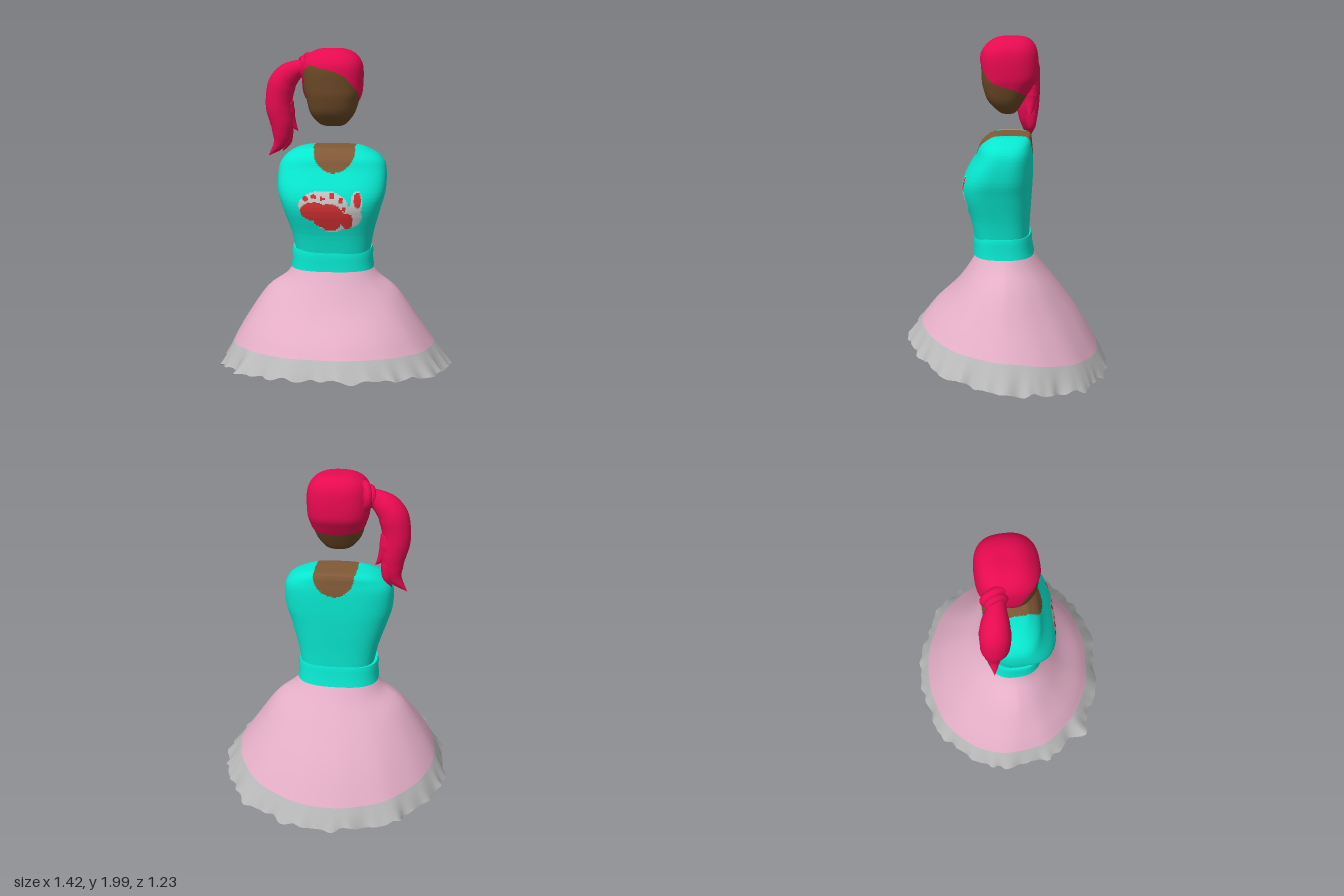
import * as THREE from 'three';

const paint = (name, color, side = THREE.FrontSide) => {
  const m = new THREE.MeshStandardMaterial({ color, side });
  m.name = name;
  return m;
};

// Smooth surface from point(s, angle); s runs down the rings, pick() chooses a material index per face.
function loft(name, point, s0, s1, rows, cols, mats, pick) {
  const pos = [], faces = mats.map(() => []);
  for (let i = 0; i <= rows; i++)
    for (let j = 0; j < cols; j++)
      pos.push(...point(s0 + (s1 - s0) * i / rows, j / cols * Math.PI * 2));
  const at = (k, c) => pos[k * 3 + c];
  for (let i = 0; i < rows; i++)
    for (let j = 0; j < cols; j++) {
      const a = i * cols + j, b = i * cols + (j + 1) % cols, c = a + cols, d = b + cols;
      const mid = n => (at(a, n) + at(b, n) + at(c, n) + at(d, n)) / 4;
      faces[pick ? pick(mid(0), mid(1), mid(2)) : 0].push(a, b, c, b, d, c);
    }
  const g = new THREE.BufferGeometry();
  g.setAttribute('position', new THREE.Float32BufferAttribute(pos, 3));
  g.setIndex(faces.flat());
  let start = 0;
  if (mats.length > 1) faces.forEach((f, k) => { g.addGroup(start, f.length, k); start += f.length; });
  g.computeVertexNormals();
  const mesh = new THREE.Mesh(g, mats.length > 1 ? mats : mats[0]);
  mesh.name = name;
  return mesh;
}

// Blend between neighbouring table rows.
function blend(rings, s) {
  const i = Math.min(Math.floor(s + 1e-6), rings.length - 2), f = s - i;
  return rings[i].map((v, k) => v + (rings[i + 1][k] - v) * f);
}

// Four smooth steps between each pair of table rows.
function refine(rings) {
  const out = [], last = rings.length - 1;
  for (let n = 0; n <= last * 4; n++) {
    const i = Math.min(Math.floor(n / 4), last - 1), t = n / 4 - i;
    const [p, q, r, w] = [-1, 0, 1, 2].map(o => rings[Math.max(0, Math.min(last, i + o))]);
    out.push(q.map((v, k) => v + 0.5 * t * (r[k] - p[k] +
      t * (2 * p[k] - 5 * v + 4 * r[k] - w[k] + t * (3 * (v - r[k]) + w[k] - p[k])))));
  }
  return out;
}

// Rounded-box outline spanning x0..x1 and z0..z1.
function outline(x0, x1, z0, z1, a, n) {
  const bend = v => Math.sign(v) * Math.pow(Math.abs(v), 2 / n);
  return [(x0 + x1) / 2 + (x1 - x0) / 2 * bend(Math.cos(a)),
    (z0 + z1) / 2 + (z1 - z0) / 2 * bend(Math.sin(a))];
}

// Rings are [y, x0, x1, z0, z1], listed from top to bottom.
const ringPoint = (rings, n) => (s, a) => {
  const [y, x0, x1, z0, z1] = blend(rings, s);
  const [x, z] = outline(x0, x1, z0, z1, a, n);
  return [x, y, z];
};

const inOval = (x, y, [cx, cy, rx, ry]) => ((x - cx) / rx) ** 2 + ((y - cy) / ry) ** 2 < 1;

const TORSO = refine([
  [1.44, -0.02, -0.02, -0.02, -0.02], [1.44, -0.17, 0.13, -0.11, 0.09],
  [1.42, -0.25, 0.2, -0.13, 0.13], [1.38, -0.305, 0.265, -0.135, 0.17],
  [1.32, -0.335, 0.293, -0.14, 0.195], [1.2, -0.337, 0.292, -0.14, 0.262],
  [1.1, -0.31, 0.265, -0.135, 0.275], [0.95, -0.26, 0.225, -0.125, 0.23],
  [0.83, -0.235, 0.205, -0.12, 0.205]]);
const BELT = [
  [0.85, -0.02, -0.02, 0.03, 0.03], [0.85, -0.255, 0.215, -0.13, 0.205], [0.85, -0.255, 0.215, -0.13, 0.205],
  [0.82, -0.262, 0.222, -0.137, 0.213], [0.79, -0.258, 0.218, -0.137, 0.21],
  [0.73, -0.266, 0.226, -0.15, 0.214], [0.73, -0.266, 0.226, -0.15, 0.214], [0.73, -0.02, -0.02, 0.03, 0.03]];
const HEAD = refine([
  [2.0, -0.025, -0.025, -0.015, -0.015], [1.997, -0.1, 0.05, -0.09, 0.06],
  [1.965, -0.165, 0.115, -0.14, 0.12], [1.9, -0.196, 0.152, -0.165, 0.165],
  [1.78, -0.196, 0.152, -0.168, 0.166], [1.72, -0.18, 0.14, -0.14, 0.16],
  [1.64, -0.155, 0.11, -0.09, 0.13], [1.585, -0.115, 0.07, -0.055, 0.08],
  [1.56, -0.075, 0.035, -0.03, 0.045], [1.555, -0.02, -0.02, 0.01, 0.01]]);
// Height of the hair's lower edge by angle in degrees from +x towards +z.
const HAIRLINE = [[0, 1.715], [30, 1.745], [50, 1.79], [70, 1.845], [90, 1.88], [110, 1.9], [130, 1.91],
  [155, 1.88], [175, 1.72], [225, 1.68], [270, 1.67], [315, 1.67], [360, 1.715]];
// Skirt rings: x0, x1, z0, z1, then height at the sides, front and back, then ruffle strength.
const SKIRT = refine([
  [-0.25, 0.2, -0.13, 0.18, 0.745, 0.745, 0.745, 0], [-0.3, 0.26, -0.2, 0.24, 0.67, 0.64, 0.64, 0.002],
  [-0.42, 0.37, -0.3, 0.34, 0.58, 0.5, 0.51, 0.004], [-0.55, 0.5, -0.43, 0.465, 0.39, 0.385, 0.33, 0.006],
  [-0.63, 0.595, -0.54, 0.53, 0.25, 0.31, 0.14, 0.008], [-0.7, 0.69, -0.6, 0.605, 0.11, 0.215, 0.025, 0.03]]);
const EDGE = 16, HEM = 20;
const HIPS = [
  [0.74, -0.2, 0.16, -0.11, 0.16], [0.52, -0.2, 0.17, -0.1, 0.15],
  [0.4, -0.18, 0.15, -0.09, 0.14], [0.4, -0.02, -0.02, 0, 0]];
const STUB = [
  [0.42, -0.15, 0.12, -0.08, 0.13], [0.32, -0.15, 0.12, -0.09, 0.13], [0.22, -0.09, 0.06, -0.06, 0.12],
  [0.18, -0.075, 0.045, -0.03, 0.1], [0.18, -0.075, 0.045, -0.03, 0.1], [0.175, -0.015, -0.015, 0.03, 0.03]];

function hairPoint(s, a) {
  const deg = a * 180 / Math.PI;
  const h = HAIRLINE.findIndex((p, k) => k > 0 && deg <= p[0]);
  const [d0, y0] = HAIRLINE[h - 1], [d1, y1] = HAIRLINE[h];
  const low = y0 + (y1 - y0) * (deg - d0) / (d1 - d0);
  const k = HEAD.findIndex(r => r[0] < low);
  const end = k - 1 + (HEAD[k - 1][0] - low) / (HEAD[k - 1][0] - HEAD[k][0]);
  return ringPoint(HEAD, 2.6)(s * end, a);
}

function skirtPoint(s, a) {
  const [x0, x1, z0, z1, ySide, yFront, yBack, ruffle] = blend(SKIRT, s);
  const [x, z] = outline(x0, x1, z0, z1, a, 2.05);
  const sin = Math.sin(a), hem = Math.max(0, (s - EDGE) / (HEM - EDGE));
  // Uneven folds: low waves everywhere, finer ones growing towards the hem
  const wave = 0.45 * Math.sin(9 * a + 2) + 0.35 * Math.sin(14 * a) +
    hem * (0.35 * Math.sin(31 * a + 1) + 0.35 * Math.sin(47 * a) * Math.sin(5 * a));
  const corner = 0.1 * hem * Math.exp(-(((a - 2.38) / 0.08) ** 2));
  const k = 1 + ruffle * wave + corner;
  const y = ySide + ((sin > 0 ? yFront : yBack) - ySide) * Math.pow(Math.abs(sin), 1.2);
  return [x * k, y + 0.007 * hem * (Math.sin(29 * a + 2) + Math.sin(17 * a)), z * k];
}

// Tapering lock of hair along a curve; radii are spread evenly over its length.
function lock(name, points, radii, mat) {
  const curve = new THREE.CatmullRomCurve3(points.map(p => new THREE.Vector3(...p)));
  const rows = 40, frames = curve.computeFrenetFrames(rows);
  const table = radii.map(r => [r]);
  return loft(name, (s, a) => {
    const i = Math.round(s * rows), r = blend(table, s * (radii.length - 1))[0];
    return curve.getPointAt(s)
      .addScaledVector(frames.normals[i], Math.cos(a) * r)
      .addScaledVector(frames.binormals[i], Math.sin(a) * r).toArray();
  }, 0, 1, rows, 20, [mat]);
}

// Chest print as ovals [x, y, radius x, radius y]
const PRINT_RED = [[-0.11, 1.1, 0.08, 0.055], [-0.03, 1.07, 0.09, 0.075], [-0.02, 1.025, 0.06, 0.04],
  [0.075, 1.045, 0.033, 0.05], [0.135, 1.165, 0.02, 0.045], [-0.16, 1.172, 0.015, 0.015],
  [-0.115, 1.185, 0.016, 0.013], [-0.065, 1.175, 0.014, 0.012], [-0.01, 1.19, 0.017, 0.014],
  [0.04, 1.165, 0.015, 0.016], [0.06, 1.115, 0.012, 0.014]];
const PRINT_WHITE = [[-0.06, 1.135, 0.14, 0.082], [-0.01, 1.05, 0.09, 0.075],
  [0.09, 1.07, 0.07, 0.065], [0.13, 1.15, 0.032, 0.068]];

export function createModel() {
  const hair = paint('crimson hair', 0xea0a52, THREE.DoubleSide), face = paint('face brown', 0x6b4826);
  const skin = paint('skin brown', 0x815a37), teal = paint('teal cloth', 0x08e8d0);
  const pink = paint('pink cloth', 0xe3aec6, THREE.DoubleSide);
  const grey = paint('grey hem', 0xb8b8b8, THREE.DoubleSide);
  const white = paint('print white', 0xc4c8c6), red = paint('print red', 0xd23032);
  const model = new THREE.Group();
  model.name = 'dressedFigure';

  // Sweater with bare neckline and a two-colour chest print
  const sweater = (x, y, z) => {
    if (y > 1.437 ? Math.abs(x + 0.01) < 0.12 : inOval(x, y, [-0.005, 1.43, 0.118, 0.12])) return 1;
    if (z < 0.1) return 0;
    if (PRINT_RED.some(o => inOval(x, y, o))) return 3;
    return PRINT_WHITE.some(o => inOval(x, y, o)) ? 2 : 0;
  };
  model.add(loft('torso', ringPoint(TORSO, 2.9), 0, 32, 128, 240, [teal, skin, white, red], sweater));
  model.add(loft('waistband', ringPoint(BELT, 2.7), 0, 7, 7, 64, [teal]));

  // Flared skirt with ruffled hem
  model.add(loft('skirt', skirtPoint, 0, EDGE, 32, 200, [pink]));
  model.add(loft('skirtHem', skirtPoint, EDGE, HEM, 8, 200, [grey]));

  // Body under the skirt
  model.add(loft('hips', ringPoint(HIPS, 2.3), 0, 3, 6, 24, [teal]));
  model.add(loft('legStub', ringPoint(STUB, 2.3), 0, 5, 5, 8, [skin]));

  // Head, sitting just inside the hair cap
  const head = ringPoint(HEAD, 2.4);
  model.add(loft('face', (s, a) => {
    const [x, y, z] = head(s, a), k = 1 - 0.035 * THREE.MathUtils.smoothstep(y, 1.6, 1.72);
    return [-0.022 + (x + 0.022) * k, Math.min(y, 1.985), z * k];
  }, 0, 36, 36, 48, [face]));
  model.add(loft('hairCap', hairPoint, 0, 1, 32, 96, [hair]));

  // Side ponytail with its double tie
  const tail = new THREE.Group();
  tail.name = 'ponytail';
  [[-0.175, 0.062, 0.023], [-0.205, 0.045, 0.02]].forEach(([x, radius, tube]) => {
    const tie = new THREE.Mesh(new THREE.TorusGeometry(radius, tube, 12, 28), hair);
    tie.name = 'hairTie';
    tie.position.set(x, 1.89, -0.078);
    tie.rotation.y = Math.PI / 2 + 0.3;
    tail.add(tie);
  });
  tail.add(
    lock('mainLock', [[-0.15, 1.89, -0.07], [-0.24, 1.875, -0.085], [-0.32, 1.81, -0.1], [-0.352, 1.68, -0.105],
      [-0.335, 1.54, -0.11], [-0.35, 1.44, -0.115], [-0.42, 1.36, -0.12]],
    [0.045, 0.05, 0.072, 0.083, 0.08, 0.078, 0.07, 0.055, 0.03, 0.001], hair),
    lock('innerLock', [[-0.33, 1.74, -0.1], [-0.315, 1.63, -0.115], [-0.28, 1.56, -0.12], [-0.24, 1.51, -0.12]],
      [0.03, 0.06, 0.055, 0.03, 0.001], hair),
    lock('lowerLock', [[-0.34, 1.62, -0.11], [-0.32, 1.53, -0.12], [-0.31, 1.45, -0.13], [-0.335, 1.385, -0.13]],
      [0.04, 0.055, 0.045, 0.028, 0.001], hair));
  model.add(tail);
  return model;
}
